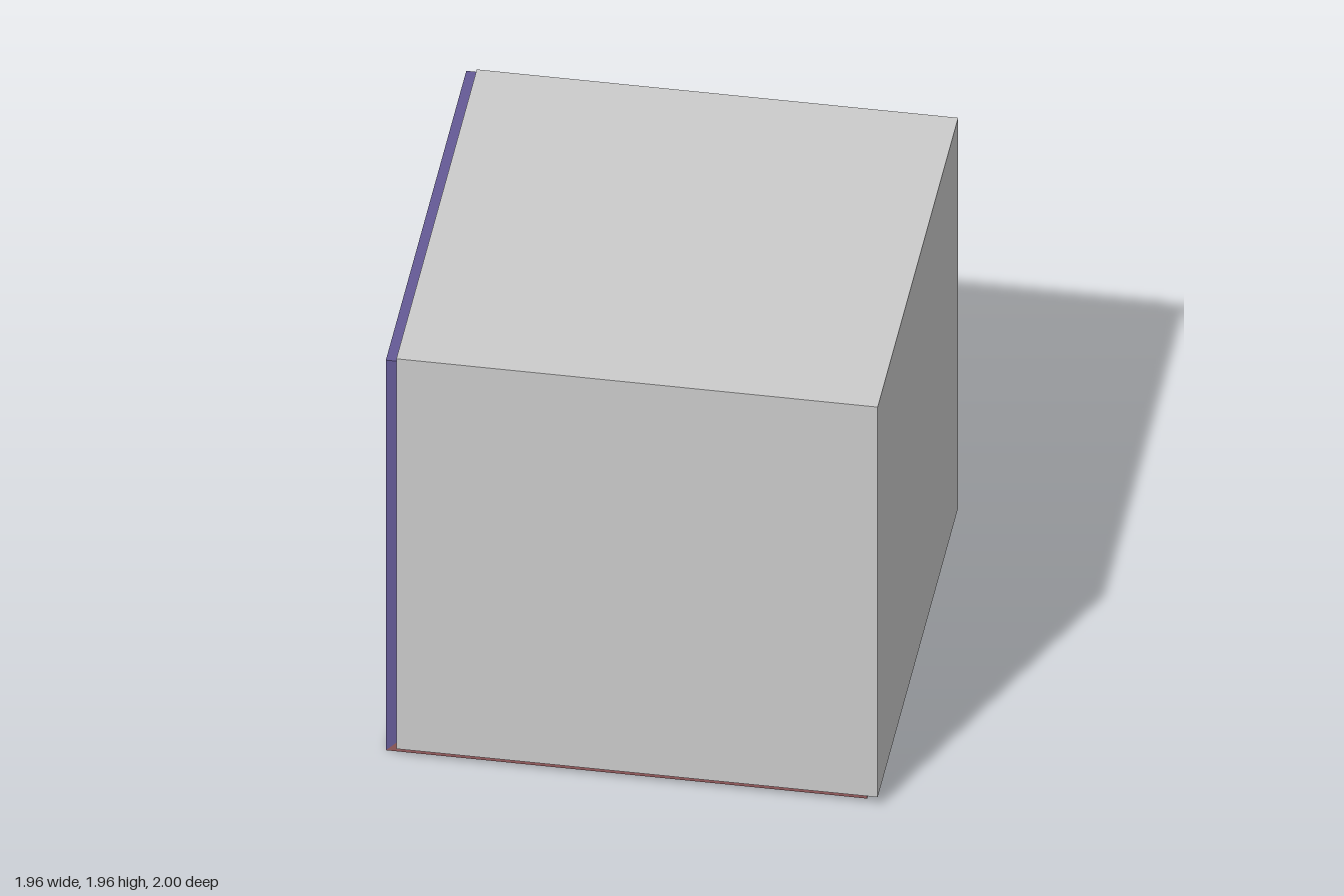
import * as THREE from 'three';

const S = 1.91;  // side of the block and of the shell
const T = 0.05;  // shell thickness
const X0 = -0.98, Z0 = -0.96; // outer corner of the shell

const grey = new THREE.MeshStandardMaterial({ color: 0xcccccc });
const purple = new THREE.MeshStandardMaterial({ color: 0x645a96 });
const brown = new THREE.MeshStandardMaterial({ color: 0x955c5e });
const blue = new THREE.MeshStandardMaterial({ color: 0x5470b0 });

// Box from its lower corner
function box(x, y, z, w, h, d) {
  return new THREE.BoxGeometry(w, h, d).translate(x + w / 2, y + h / 2, z + d / 2);
}

// Moves vertices by a rule, then refreshes the normals
function reshape(geometry, rule) {
  const p = geometry.attributes.position;
  const v = new THREE.Vector3();
  for (let i = 0; i < p.count; i++) {
    rule(v.fromBufferAttribute(p, i));
    p.setXYZ(i, v.x, v.y, v.z);
  }
  geometry.computeVertexNormals();
  return geometry;
}

export function createModel() {
  const group = new THREE.Group();
  const add = (name, geometry, material) => {
    const mesh = new THREE.Mesh(geometry, material);
    mesh.name = name;
    group.add(mesh);
  };
  const near = (a, b) => Math.abs(a - b) < 0.001;

  // Solid block nested in the shell corner
  add('block', box(X0 + T, T, Z0 + T, S, S, S), grey);

  // Floor slab, mitred towards both walls, with its underside like the walls
  const floor = reshape(box(X0, 0, Z0, S, T, S), (v) => {
    if (!near(v.y, T)) return;
    if (near(v.x, X0)) v.x += T;
    if (near(v.z, Z0)) v.z += T;
  });
  add('floor', floor, [brown, brown, brown, purple, brown, brown]);

  // Side wall, mitred at the floor
  const side = reshape(box(X0, 0, Z0, T, S, S), (v) => {
    if (near(v.x, X0 + T) && near(v.y, 0)) v.y = T;
  });
  add('sideWall', side, purple);

  // Back wall with a round window opening
  const cx = -0.3, cy = 1.16;
  const outline = new THREE.Shape();
  outline.moveTo(X0, 0);
  outline.lineTo(X0 + S, 0);
  outline.lineTo(X0 + S, S);
  outline.lineTo(X0, S);
  outline.holes.push(new THREE.Path().absarc(cx, cy, 0.38, 0, Math.PI * 2, true));
  const back = new THREE.ExtrudeGeometry(outline, { depth: T, bevelEnabled: false, curveSegments: 48 });
  back.translate(0, 0, Z0);
  reshape(back, (v) => {
    if (near(v.z, Z0 + T) && near(v.y, 0)) v.y = T;
  });
  add('backWall', back, purple);

  // Softly shaded window ring passing through the back wall
  const inner = 0.355, outer = 0.405, depth = 0.09;
  const section = [[inner, 0], [outer, 0], [outer, depth], [inner, depth], [inner, 0]]
    .map(([r, h]) => new THREE.Vector2(r, h));
  const ring = new THREE.LatheGeometry(section, 64);
  ring.rotateX(-Math.PI / 2).translate(cx, cy, Z0 + T);
  add('windowRing', ring, blue);

  return group;
}
